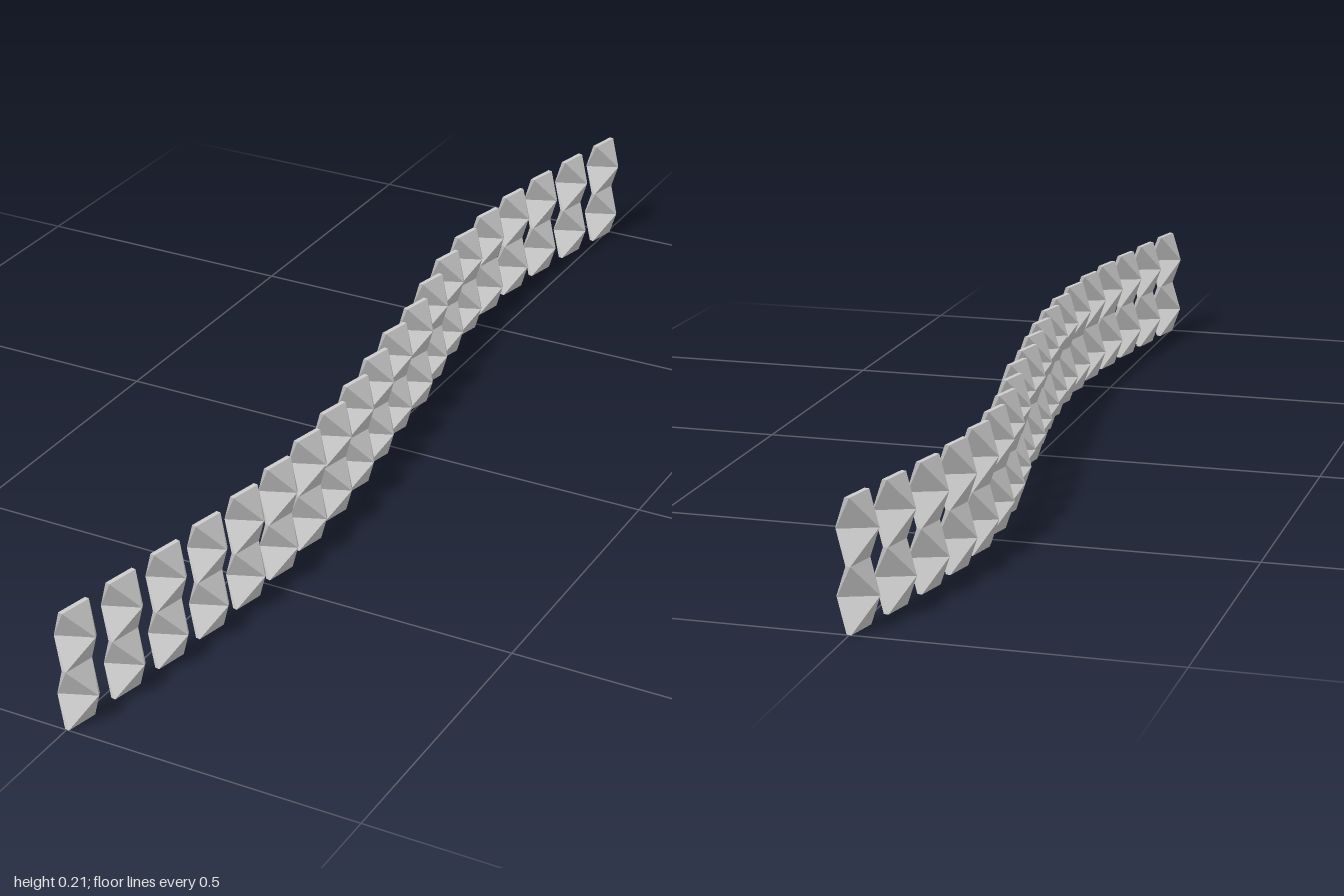
import * as THREE from 'three';

const COUNT = 20;
const SPACING = 0.1023;
const HEIGHT = 0.206;
const BANDS = 4;

// Thin rectangular cross-section, turned about y
function ring(y, halfLength, halfThickness, degrees) {
  const a = THREE.MathUtils.degToRad(degrees), c = Math.cos(a), s = Math.sin(a);
  return [[1, -1], [1, 1], [-1, 1], [-1, -1]].map(([i, j]) => {
    const u = i * halfLength, v = j * halfThickness;
    return [u * c - v * s, y, -(u * s + v * c)];
  });
}

// Post whose cross-section twists back and forth, band by band
function postGeometry() {
  const rings = [];
  for (let i = 0; i <= BANDS; i++) {
    const y = (HEIGHT * i) / BANDS;
    rings.push(i % 2 ? ring(y, 0.0315, 0.004, 22) : ring(y, 0.028, 0.004, 78));
  }
  const pos = [];
  const tri = (a, b, c) => pos.push(...a, ...b, ...c);
  for (let i = 0; i < BANDS; i++) {
    const L = rings[i], U = rings[i + 1];
    for (let k = 0; k < 4; k++) {
      const n = (k + 1) % 4;
      if (i % 2) { // twisting counterclockwise
        tri(L[k], L[n], U[k]);
        tri(L[n], U[n], U[k]);
      } else { // twisting clockwise
        tri(L[k], L[n], U[n]);
        tri(L[k], U[n], U[k]);
      }
    }
  }
  // End caps
  const [b, t] = [rings[0], rings[BANDS]];
  tri(t[0], t[1], t[2]);
  tri(t[0], t[2], t[3]);
  tri(b[0], b[2], b[1]);
  tri(b[0], b[3], b[2]);
  const g = new THREE.BufferGeometry();
  g.setAttribute('position', new THREE.Float32BufferAttribute(pos, 3));
  g.computeVertexNormals();
  return g;
}

// Sideways sway of the row: one half wave to each side
function sway(i) {
  return i < 9
    ? -0.005 - 0.057 * Math.sin((i * Math.PI) / 8)
    : 0.006 + 0.055 * Math.sin(((i - 9) * Math.PI) / 10);
}

export function createModel() {
  const group = new THREE.Group();
  group.name = 'postRow';
  const geometry = postGeometry();
  const material = new THREE.MeshStandardMaterial({ color: 0xcccccc, flatShading: true });
  for (let i = 0; i < COUNT; i++) {
    const post = new THREE.Mesh(geometry, material);
    post.name = `twistedPost${i + 1}`;
    post.position.set(sway(i), 0, (i - (COUNT - 1) / 2) * SPACING);
    group.add(post);
  }
  return group;
}
